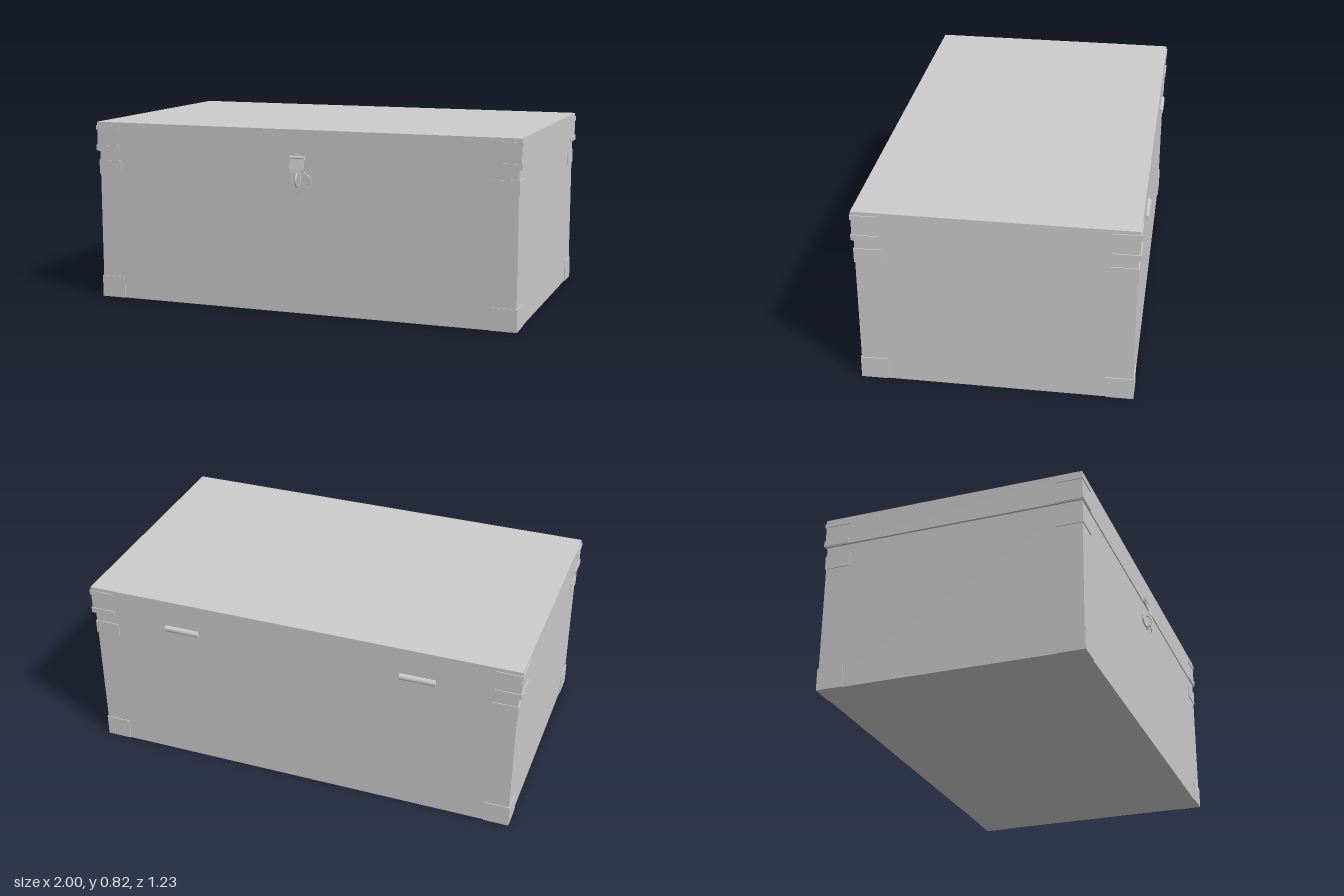
import * as THREE from 'three';

const grey = new THREE.MeshStandardMaterial({ color: 0xcccccc });

function add(parent, name, geometry, x = 0, y = 0, z = 0) {
  const mesh = new THREE.Mesh(geometry, grey);
  mesh.name = name;
  mesh.position.set(x, y, z);
  parent.add(mesh);
  return mesh;
}

// Box given by its limits on each axis
function slab(parent, name, x0, x1, y0, y1, z0, z1) {
  return add(parent, name, new THREE.BoxGeometry(x1 - x0, y1 - y0, z1 - z0),
    (x0 + x1) / 2, (y0 + y1) / 2, (z0 + z1) / 2);
}

function polygon(points) {
  return new THREE.Shape(points.map(([x, y]) => new THREE.Vector2(x, y)));
}

// Thin L-shaped plates wrapped round the four vertical edges
function cornerBrackets(parent, name, halfX, back, front, y0, y1) {
  const t = 0.004, w = 0.115;
  for (const sx of [-1, 1]) {
    for (const [z, sz] of [[back, -1], [front, 1]]) {
      const bracket = new THREE.Group();
      bracket.name = name;
      const h = y1 - y0, y = (y0 + y1) / 2;
      add(bracket, 'bracketFace', new THREE.BoxGeometry(w, h, t),
        sx * (halfX + t - w / 2), y, z + sz * t / 2);
      add(bracket, 'bracketSide', new THREE.BoxGeometry(t, h, w),
        sx * (halfX + t / 2), y, z - sz * w / 2);
      parent.add(bracket);
    }
  }
}

export function createModel() {
  const chest = new THREE.Group();
  chest.name = 'chest';

  // Body and slightly overhanging lid
  slab(chest, 'body', -0.985, 0.985, 0, 0.69, -0.594, 0.581);
  slab(chest, 'lid', -0.996, 0.996, 0.687, 0.822, -0.6, 0.586);

  // Corner brackets on body and lid
  cornerBrackets(chest, 'bodyBracket', 0.985, -0.594, 0.581, 0.0, 0.1);
  cornerBrackets(chest, 'bodyBracket', 0.985, -0.594, 0.581, 0.58, 0.645);
  cornerBrackets(chest, 'lidBracket', 0.996, -0.6, 0.586, 0.69, 0.715);
  cornerBrackets(chest, 'lidBracket', 0.996, -0.6, 0.586, 0.785, 0.806);

  // Hinge barrels on the back
  for (const x of [-0.55, 0.55]) {
    const barrel = new THREE.CylinderGeometry(0.015, 0.015, 0.16, 8).rotateZ(Math.PI / 2);
    add(chest, 'hinge', barrel, x, 0.683, -0.6);
  }

  // Latch: pivot, slotted strap, base plate and staple
  const latch = new THREE.Group();
  latch.name = 'latch';
  chest.add(latch);
  slab(latch, 'latchLeaf', -0.035, 0.035, 0.69, 0.712, 0.584, 0.59);
  add(latch, 'latchPivot',
    new THREE.CylinderGeometry(0.007, 0.007, 0.07, 8).rotateZ(Math.PI / 2), 0, 0.7, 0.592);

  const half = [[0.035, 0.7], [0.035, 0.68], [0.035, 0.655], [0.023, 0.637],
    [0.023, 0.565], [0.012, 0.545]];
  const strap = polygon([...half, [0, 0.538],
    ...half.map(([x, y]) => [-x, y]).reverse()]);
  strap.holes.push(polygon([[-0.009, 0.566], [-0.009, 0.634], [0.009, 0.634], [0.009, 0.566]]));
  const strapGeometry = new THREE.ExtrudeGeometry(strap, { depth: 0.004, bevelEnabled: false });
  // Lean the strap outwards from its pivot
  const pos = strapGeometry.attributes.position;
  for (let i = 0; i < pos.count; i++) {
    const d = Math.min(1, (0.7 - pos.getY(i)) / 0.09);
    pos.setZ(i, pos.getZ(i) + 0.592 + 0.016 * d);
  }
  strapGeometry.computeVertexNormals();
  add(latch, 'latchStrap', strapGeometry);

  const plate = polygon([[0.03, 0.57], [0.063, 0.588], [0.063, 0.612], [0.03, 0.637],
    [-0.03, 0.637], [-0.063, 0.612], [-0.063, 0.588], [-0.03, 0.57]]);
  add(latch, 'latchPlate',
    new THREE.ExtrudeGeometry(plate, { depth: 0.006, bevelEnabled: false }), 0, 0, 0.581);

  const staple = new THREE.TorusGeometry(0.03, 0.005, 6, 16, Math.PI)
    .rotateZ(-Math.PI / 2).rotateY(-Math.PI / 2);
  add(latch, 'latchStaple', staple, 0, 0.6, 0.583);

  return chest;
}
